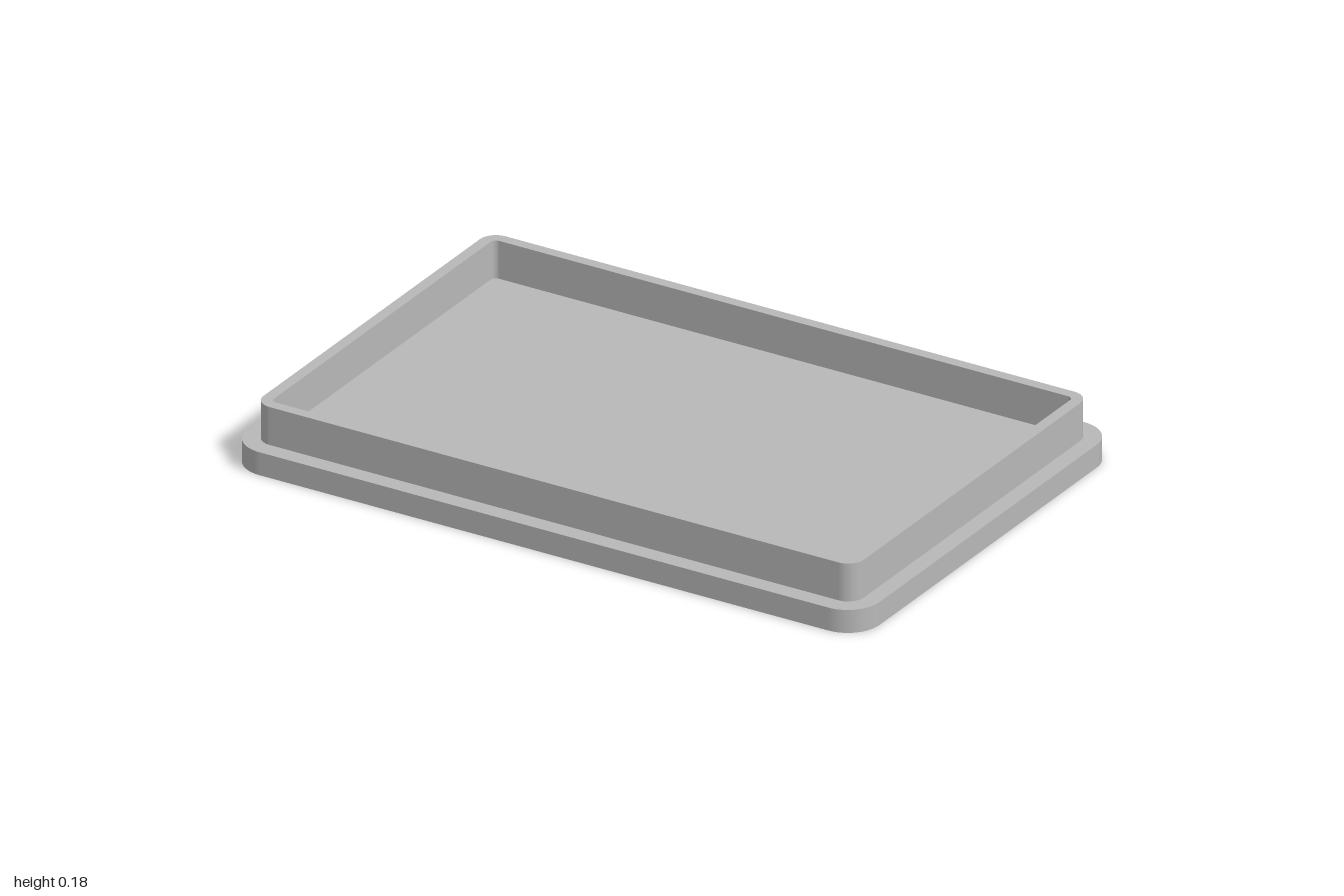
import * as THREE from 'three';

// Rounded rectangle outline, centred on the origin
function roundedRect(target, hx, hz, r) {
  target.moveTo(hx, -hz + r);
  target.absarc(hx - r, hz - r, r, 0, Math.PI / 2);
  target.absarc(-hx + r, hz - r, r, Math.PI / 2, Math.PI);
  target.absarc(-hx + r, -hz + r, r, Math.PI, Math.PI * 1.5);
  target.absarc(hx - r, -hz + r, r, Math.PI * 1.5, Math.PI * 2);
  return target;
}

// Extrudes an outline upward from y0 to y1
function slab(name, shape, y0, y1, material) {
  const geometry = new THREE.ExtrudeGeometry(shape, {
    depth: y1 - y0, bevelEnabled: false, curveSegments: 12,
  });
  geometry.rotateX(-Math.PI / 2);
  geometry.translate(0, y0, 0);
  const mesh = new THREE.Mesh(geometry, material);
  mesh.name = name;
  return mesh;
}

export function createModel() {
  const group = new THREE.Group();
  group.name = 'lid';
  const grey = new THREE.MeshStandardMaterial({ color: 0xb8b8b8 });
  grey.name = 'light grey';

  const baseTop = 0.069;
  const wallTop = 0.183;

  // Flat plate with broad rounded corners; its top is also the tray floor
  const plate = roundedRect(new THREE.Shape(), 1, 0.66, 0.1);
  group.add(slab('basePlate', plate, 0, baseTop, grey));

  // Raised rim wall, open in the middle
  const rim = roundedRect(new THREE.Shape(), 0.95, 0.608, 0.05);
  rim.holes.push(roundedRect(new THREE.Path(), 0.917, 0.575, 0.017));
  group.add(slab('rimWall', rim, baseTop, wallTop, grey));

  return group;
}
